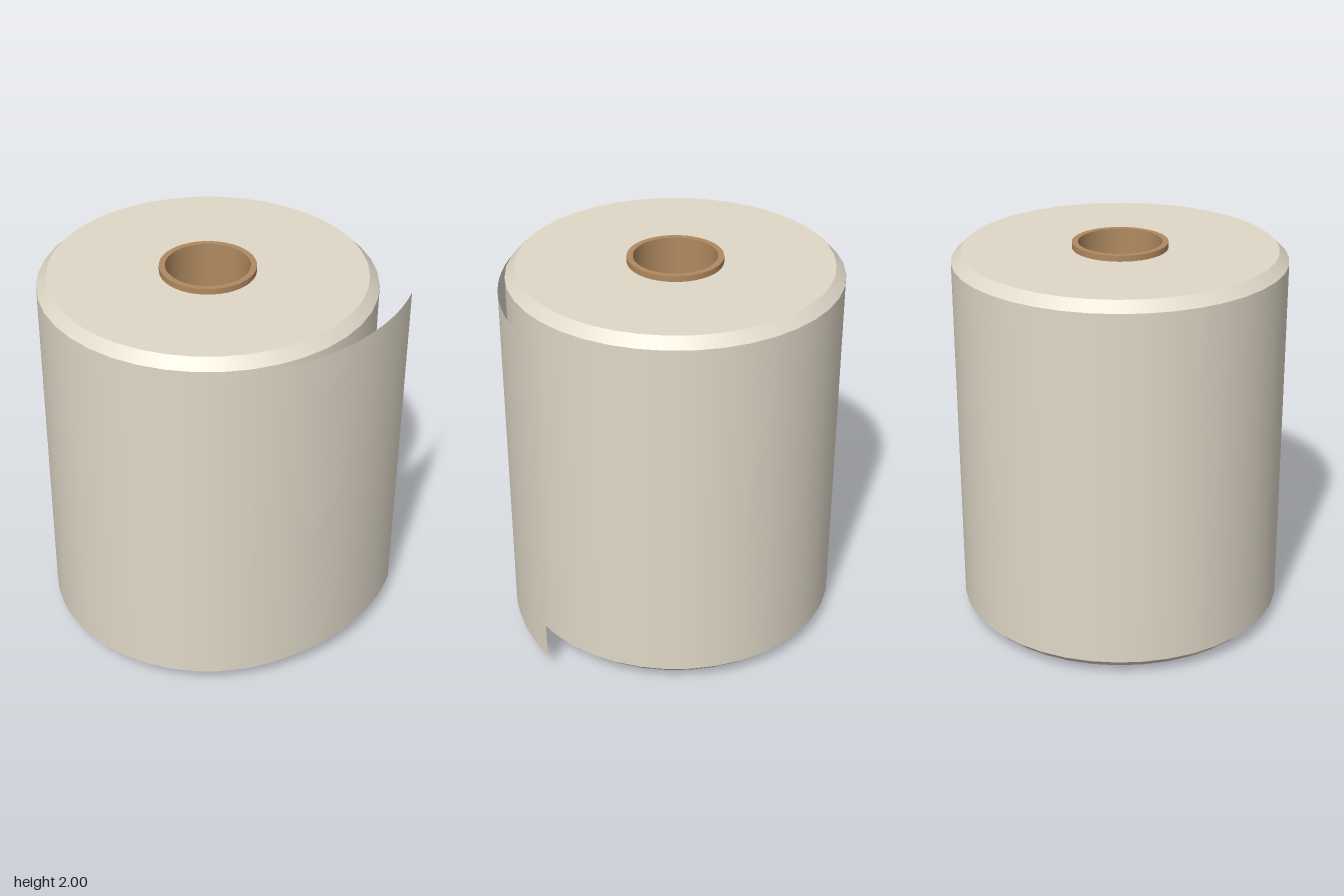
import * as THREE from 'three';

export function createModel() {
  const paper = new THREE.MeshStandardMaterial({ color: 0xe0d8c8, side: THREE.DoubleSide });
  paper.name = 'paper';
  const cardboard = new THREE.MeshStandardMaterial({ color: 0xb08a60, side: THREE.DoubleSide });
  cardboard.name = 'cardboard';

  const model = new THREE.Group();
  model.name = 'paperRoll';
  const body = new THREE.Group();
  body.position.z = -0.03;
  model.add(body);

  const SEGMENTS = 40;

  // One hard-edged band of a turned part, between two (radius, height) points
  function band(r0, y0, r1, y1) {
    return new THREE.LatheGeometry([new THREE.Vector2(r0, y0), new THREE.Vector2(r1, y1)], SEGMENTS);
  }

  // Closed turned part: each profile edge becomes its own band
  function turned(name, profile, material) {
    const part = new THREE.Group();
    part.name = name;
    profile.forEach(([r, y], i) => {
      const [r2, y2] = profile[(i + 1) % profile.length];
      const mesh = new THREE.Mesh(band(r, y, r2, y2), material);
      mesh.name = name + 'Band' + (i + 1);
      part.add(mesh);
    });
    body.add(part);
  }

  // Wound paper with chamfered rims
  turned('woundPaper', [
    [0.24, 0.035], [0.79, 0.035], [0.84, 0.083], [0.84, 1.92], [0.79, 1.97], [0.24, 1.97],
  ], paper);

  // Hollow core, slightly longer than the paper
  turned('core', [[0.21, 0], [0.24, 0], [0.24, 2], [0.21, 2]], cardboard);

  // Loose sheet end, spiralling away from the roll at the front
  const sheet = new THREE.PlaneGeometry(1, 1.805, 24, 1);
  const pos = sheet.attributes.position;
  for (let i = 0; i < pos.count; i++) {
    const t = pos.getX(i) + 0.5;
    const angle = -0.6 + 1.197 * t;
    const radius = 0.848 + 0.149 * t * t;
    pos.setXYZ(i, radius * Math.sin(angle), pos.getY(i) + 1.0025, radius * Math.cos(angle));
  }
  sheet.computeVertexNormals();
  const flap = new THREE.Mesh(sheet, paper);
  flap.name = 'looseSheet';
  body.add(flap);

  return model;
}
